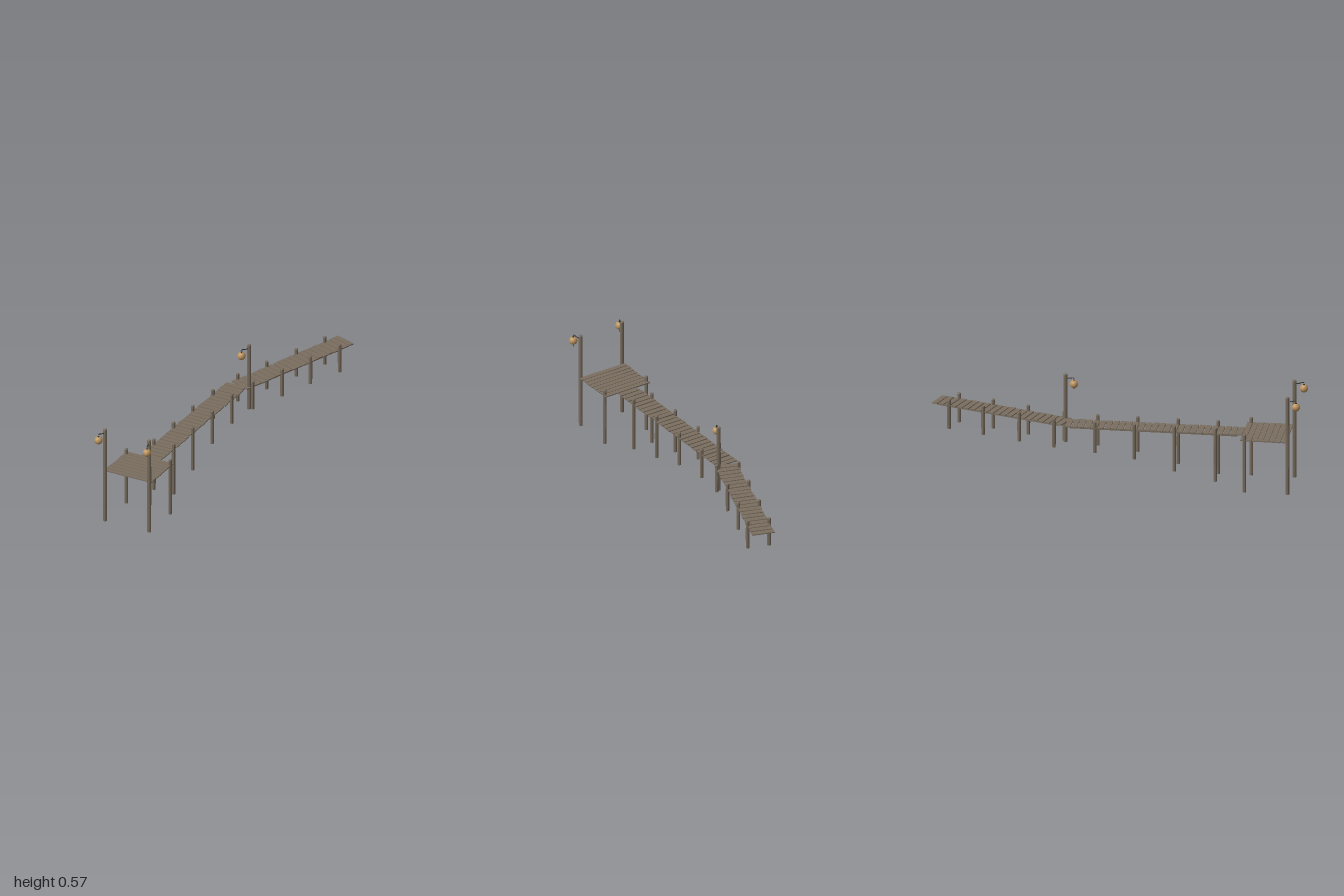
import * as THREE from 'three';

const mat = (name, color) => Object.assign(new THREE.MeshStandardMaterial({ color }), { name });

export function createModel() {
  const model = new THREE.Group();
  model.name = 'pier';
  const wood = mat('weathered wood', 0x7a6e60);
  const iron = mat('dark iron', 0x35302b);
  const paper = mat('lantern tan', 0xbb935f);
  const post = wood.clone();
  post.name = 'post wood';
  post.color.set(0x766a5c);
  post.flatShading = true;

  let seed = 7;
  const jitter = (a) => {
    seed = (seed * 16807) % 2147483647;
    return (seed / 2147483647 - 0.5) * 2 * a;
  };
  const add = (parent, geo, material, name, x = 0, y = 0, z = 0) => {
    const m = new THREE.Mesh(geo, material);
    m.name = name;
    m.position.set(x, y, z);
    parent.add(m);
    return m;
  };

  // Walkway: a straight run of planks on two stringers
  function walkway(name, x0, z0, x1, z1, count) {
    const g = new THREE.Group();
    g.name = name;
    const len = Math.hypot(x1 - x0, z1 - z0);
    const pitch = len / count;
    g.position.set(x0, 0, z0);
    g.rotation.y = Math.atan2(x0 - x1, z0 - z1);
    for (let i = 0; i < count; i++) {
      const p = add(g, new THREE.BoxGeometry(0.125 + jitter(0.005), 0.006, pitch * 0.83), wood,
        'walkPlank', jitter(0.002), 0.301 + jitter(0.0008), -(i + 0.5) * pitch);
      p.rotation.y = jitter(0.02);
    }
    for (const s of [-1, 1]) {
      add(g, new THREE.BoxGeometry(0.01, 0.009, len - 0.06), wood, 'stringer', s * 0.046, 0.2935, -len / 2);
    }
    model.add(g);
  }
  walkway('outerWalkway', -0.27, 0.637, 0.003, -0.312, 27);
  walkway('shoreWalkway', 0.015, -0.305, 0.473, -0.963, 21);

  // Square platform at the far end
  const deck = new THREE.Group();
  deck.name = 'platform';
  deck.position.set(-0.308, 0, 0.758);
  deck.rotation.y = -0.28;
  for (let i = 0; i < 8; i++) {
    add(deck, new THREE.BoxGeometry(0.294 + jitter(0.003), 0.006, 0.0285), wood,
      'platformPlank', jitter(0.002), 0.303, (i - 3.5) * 0.0322);
  }
  model.add(deck);

  // Posts: x, z, foot height, top height, radius
  function addPost(x, z, foot, top, r, name) {
    const profile = [[0, foot], [r * 0.95, foot], [r, (foot + top) / 2], [r * 0.95, top - 0.004], [r * 0.75, top], [0, top]]
      .map(([a, b]) => new THREE.Vector2(a, b));
    const m = add(model, new THREE.LatheGeometry(profile, 8), post, name, x, 0, z);
    m.rotation.y = jitter(0.5);
  }
  [
    [-0.41, 0.62, 0], [-0.146, 0.695, 0],
    [-0.287, 0.476, 0.025], [-0.169, 0.508, 0.025],
    [-0.226, 0.257, 0.073], [-0.11, 0.294, 0.073],
    [-0.165, 0.043, 0.133], [-0.048, 0.08, 0.133],
    [-0.099, -0.166, 0.157], [0.014, -0.134, 0.157],
    [-0.008, -0.38, 0.166], [0.093, -0.309, 0.166],
    [0.115, -0.556, 0.166], [0.217, -0.49, 0.166],
    [0.242, -0.738, 0.166], [0.337, -0.668, 0.166],
    [0.363, -0.91, 0.166], [0.462, -0.84, 0.166],
  ].forEach(([x, z, foot]) => addPost(x, z, foot, 0.336, 0.0105, 'pile'));

  // Lamp posts, each with a hooked arm and a round hanging lantern
  [
    [-0.478, 0.85, 0, 0.567, -0.505, 0.893],
    [-0.213, 0.925, 0, 0.567, -0.213, 0.978],
    [0.073, -0.305, 0.166, 0.562, 0.04, -0.262],
  ].forEach(([x, z, foot, top, lx, lz]) => {
    addPost(x, z, foot, top, 0.0118, 'lampPost');
    const at = (t, dy) => new THREE.Vector3(x + (lx - x) * t, top + dy, z + (lz - z) * t);
    const arm = new THREE.CatmullRomCurve3([at(0, -0.022), at(0.5, -0.02), at(0.9, -0.015), at(1, -0.019)]);
    add(model, new THREE.TubeGeometry(arm, 12, 0.0028, 6), iron, 'lampArm');
    add(model, new THREE.CylinderGeometry(0.0011, 0.0011, 0.074, 6), iron, 'lanternCord', lx, top - 0.056, lz);
    add(model, new THREE.SphereGeometry(0.0228, 20, 14), paper, 'lantern', lx, top - 0.051, lz);
    for (const s of [-1, 1]) {
      add(model, new THREE.CylinderGeometry(0.006, 0.006, 0.003, 10), iron, 'lanternCap', lx, top - 0.051 + s * 0.0222, lz);
    }
  });
  return model;
}
